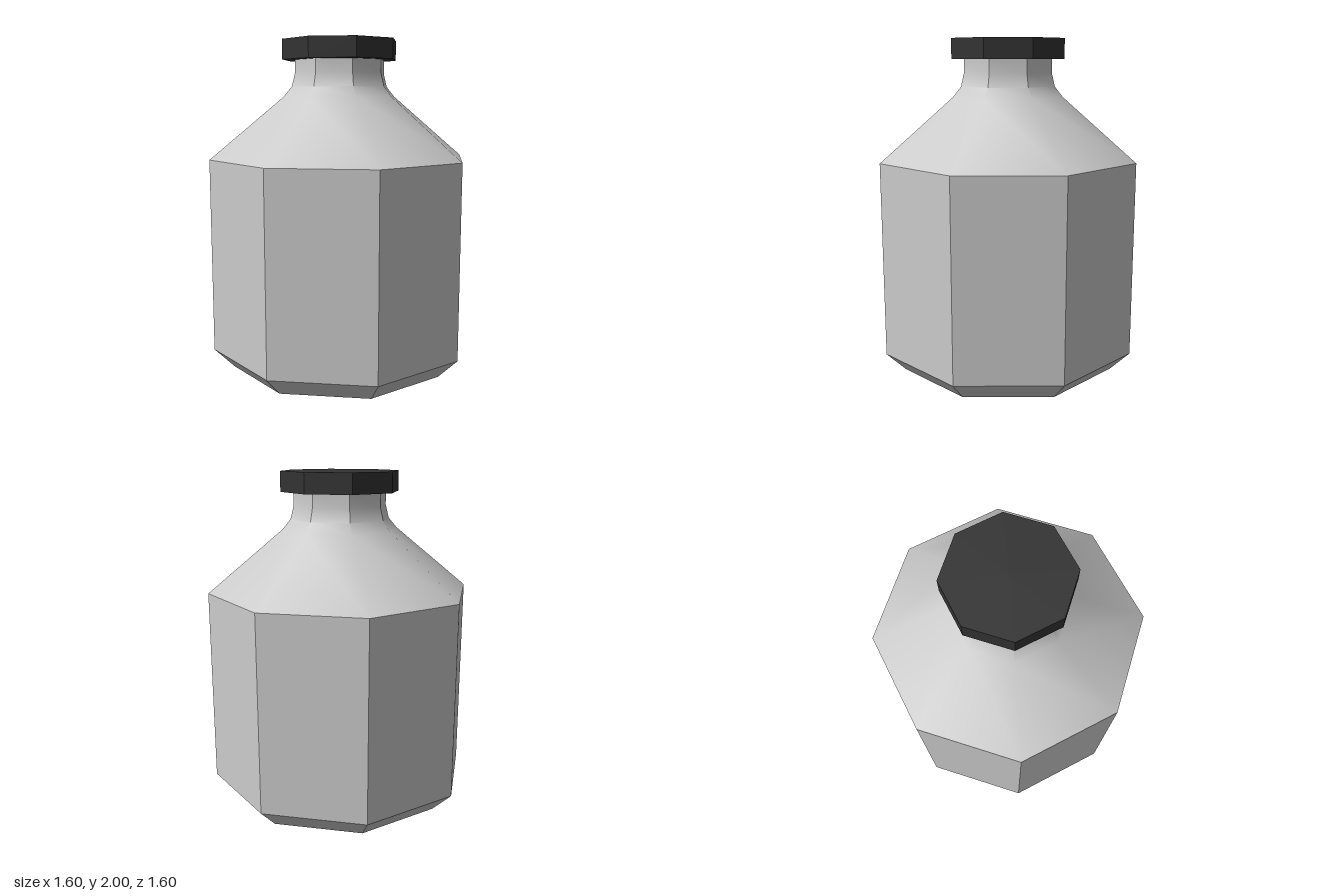
import * as THREE from 'three';
import { toCreasedNormals } from 'three/addons/utils/BufferGeometryUtils.js';

const SIDES = 8;

// Eight-sided turned surface from [radius, height] pairs, bottom to top
function turned(profile) {
  return new THREE.LatheGeometry(profile.map(([r, y]) => new THREE.Vector2(r, y)), SIDES);
}

export function createModel() {
  const group = new THREE.Group();
  group.name = 'bottle';
  const glass = new THREE.MeshStandardMaterial({ color: 0xcccccc });
  const glassFlat = new THREE.MeshStandardMaterial({ color: 0xcccccc, flatShading: true });
  const dark = new THREE.MeshStandardMaterial({ color: 0x333333, flatShading: true });

  const add = (name, geometry, material) => {
    const mesh = new THREE.Mesh(geometry, material);
    mesh.name = name;
    group.add(mesh);
    return mesh;
  };

  // Faceted body with a closed base and bevelled foot
  add('body', turned([[0, 0], [0.68, 0], [0.8, 0.12], [0.8, 1.29]]), glassFlat);

  // Softly shaded shoulder running into a neck with crisp upright edges
  const shoulder = turned([[0.8, 1.29], [0.35, 1.66], [0.3, 1.72], [0.28, 1.8], [0.28, 1.88]]);
  add('shoulderAndNeck', toCreasedNormals(shoulder, THREE.MathUtils.degToRad(38)), glass);

  // Lid
  add('cap', new THREE.CylinderGeometry(0.357, 0.357, 0.12, SIDES), dark).position.y = 1.94;

  return group;
}
